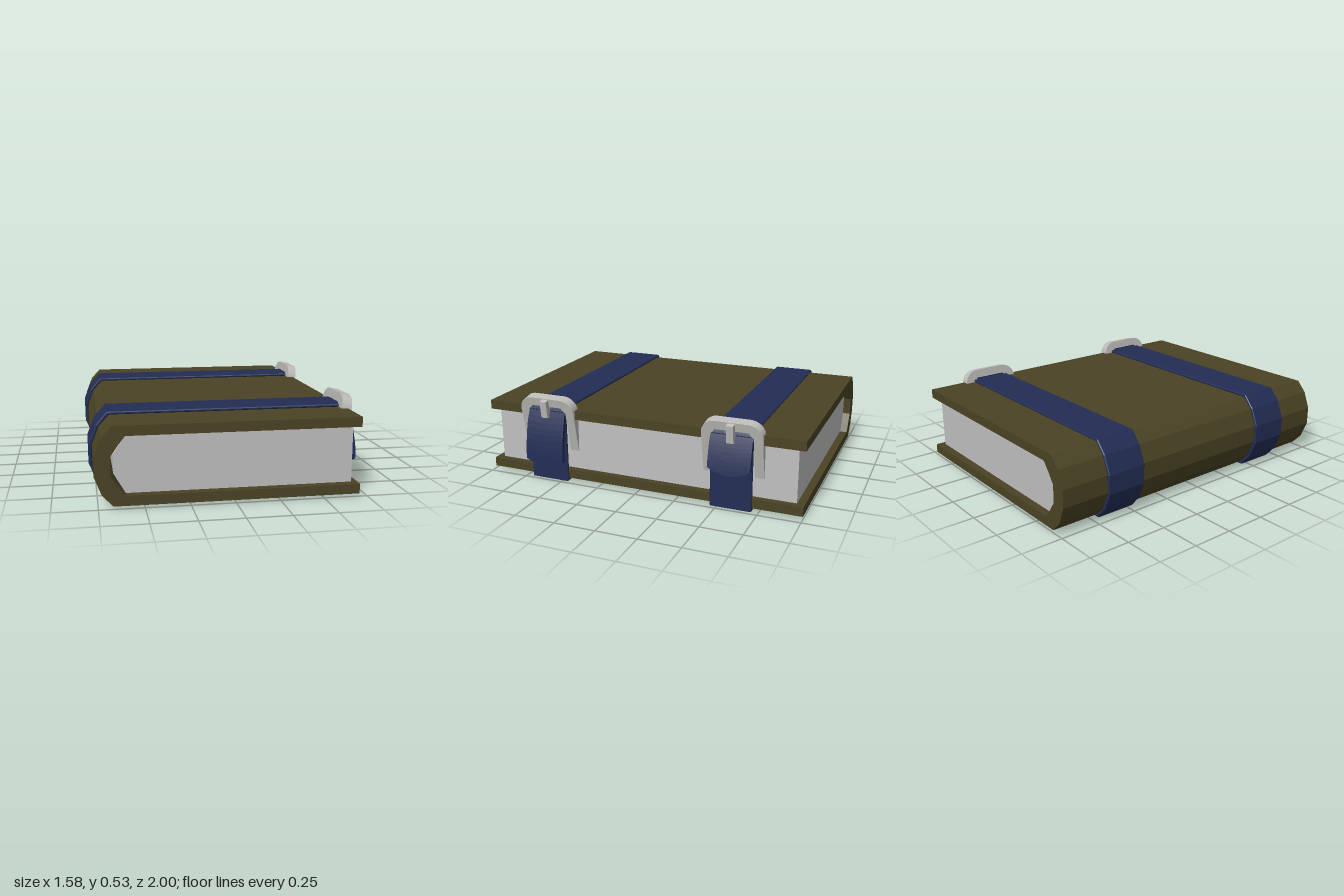
import * as THREE from 'three';

const mat = (name, color, extra = {}) => {
  const m = new THREE.MeshStandardMaterial({ color });
  m.name = name;
  m.flatShading = true;
  return Object.assign(m, extra);
};

const shapeOf = (pts) => new THREE.Shape(pts.map(([x, y]) => new THREE.Vector2(x, y)));

// Extrude an x/y profile along z, centred on z = 0
function slab(pts, depth, bevel = 0) {
  const geo = new THREE.ExtrudeGeometry(shapeOf(pts), {
    depth: depth - 2 * bevel, bevelEnabled: bevel > 0, bevelSegments: 1,
    bevelSize: bevel, bevelThickness: bevel, bevelOffset: -bevel,
  });
  return geo.translate(0, 0, -depth / 2 + bevel);
}

// Faceted spine, top to bottom, mirrored about the middle height
const MID = 0.24;
const mirrorY = (pts) => [...pts, ...pts.slice().reverse().map(([x, y]) => [x, 2 * MID - y])];

const outerSpine = mirrorY([[-0.67, 0.46], [-0.73, 0.395], [-0.77, 0.293]]);
const innerSpine = mirrorY([[-0.60, 0.404], [-0.64, 0.355], [-0.682, 0.293]]);
const pageSpine = mirrorY([[-0.60, 0.402], [-0.665, 0.29]]);
const strapSpine = mirrorY([[-0.683, 0.476], [-0.747, 0.403], [-0.79, 0.297]]);

// Upside-down U frame, thick at the top and tapering to pointed legs
function buckleGeometry() {
  const w = 0.18, i = 0.126, r = 0.085, end = -0.336, knee = -0.085;
  const s = new THREE.Shape();
  s.moveTo(-w, end);
  s.lineTo(-w, knee);
  s.absarc(-w + r, -r, r, Math.PI, Math.PI / 2, true);
  s.lineTo(w - r, 0);
  s.absarc(w - r, -r, r, Math.PI / 2, 0, true);
  s.lineTo(w, end);
  s.lineTo(i, end);
  s.lineTo(i, knee);
  s.lineTo(i - 0.03, -0.052);
  s.lineTo(-i + 0.03, -0.052);
  s.lineTo(-i, knee);
  s.lineTo(-i, end);
  const geo = new THREE.ExtrudeGeometry(s, { depth: 1, bevelEnabled: false, curveSegments: 8 });
  geo.rotateY(Math.PI / 2);
  const p = geo.attributes.position;
  for (let k = 0; k < p.count; k++) {
    const taper = Math.min(1, (p.getY(k) - end) / (knee - end));
    p.setX(k, (p.getX(k) - 1) * (0.002 + 0.058 * taper));
  }
  geo.computeVertexNormals();
  return geo;
}

// Loose strap end: a thin box bent outward with a rounded tip
function flapGeometry(tip) {
  const top = 0.485, width = 0.25;
  const geo = new THREE.BoxGeometry(0.026, 1, width, 1, 10, 10);
  const p = geo.attributes.position;
  for (let k = 0; k < p.count; k++) {
    const u = p.getZ(k) / (width / 2);
    const t = 0.5 - p.getY(k);
    const low = tip + 0.035 * u * u;
    const high = top - 0.02 * u ** 8;
    const y = high + (low - high) * t;
    p.setY(k, y);
    p.setX(k, p.getX(k) + 0.774 - 0.55 * (y - 0.11) ** 2);
    p.setZ(k, p.getZ(k) * (0.95 + 0.05 * Math.min(1, t * 4)));
  }
  geo.computeVertexNormals();
  return geo;
}

export function createModel() {
  const model = new THREE.Group();
  model.name = 'strappedBook';
  const leather = mat('coverBrown', 0x4a4324);
  const paper = mat('paperGrey', 0xc0c0c0);
  const navy = mat('strapBlue', 0x222d55);
  const metal = mat('buckleGrey', 0xbcbbb8, { side: THREE.DoubleSide });

  const add = (parent, name, geo, material) => {
    const mesh = new THREE.Mesh(geo, material);
    mesh.name = name;
    parent.add(mesh);
    return mesh;
  };

  // Cover wrapping round the spine
  add(model, 'cover', slab([
    [0.706, 0.46], ...outerSpine, [0.706, 0.02],
    [0.706, 0.076], ...innerSpine.slice().reverse(), [0.706, 0.404],
  ], 2), leather);

  // Page block
  add(model, 'pages', slab([[0.67, 0.402], ...pageSpine, [0.67, 0.078]], 1.91), paper);

  // Two straps with buckles; the front one has the longer loose end
  for (const [label, z, tip] of [['front', 0.585, 0.11], ['back', -0.585, 0.225]]) {
    const g = new THREE.Group();
    g.name = label + 'Strap';
    g.position.z = z;
    model.add(g);

    add(g, 'strapBand', slab([
      [0.70, 0.476], ...strapSpine, [0.725, 0.004], [0.725, 0.45],
      [0.708, 0.45], [0.708, 0.02], ...outerSpine.slice().reverse(), [0.70, 0.46],
    ], 0.25, 0.005), navy);

    add(g, 'strapEnd', flapGeometry(tip), navy);

    const buckle = add(g, 'buckle', buckleGeometry(), metal);
    buckle.position.set(0.742, 0.524, 0);
    buckle.rotation.z = -0.2;

    // Prong hooked over the top bar into the strap
    add(g, 'buckleProng', slab([
      [0.71, 0.50], [0.735, 0.522], [0.77, 0.512], [0.757, 0.41], [0.735, 0.405],
    ], 0.042), metal);
  }
  return model;
}
